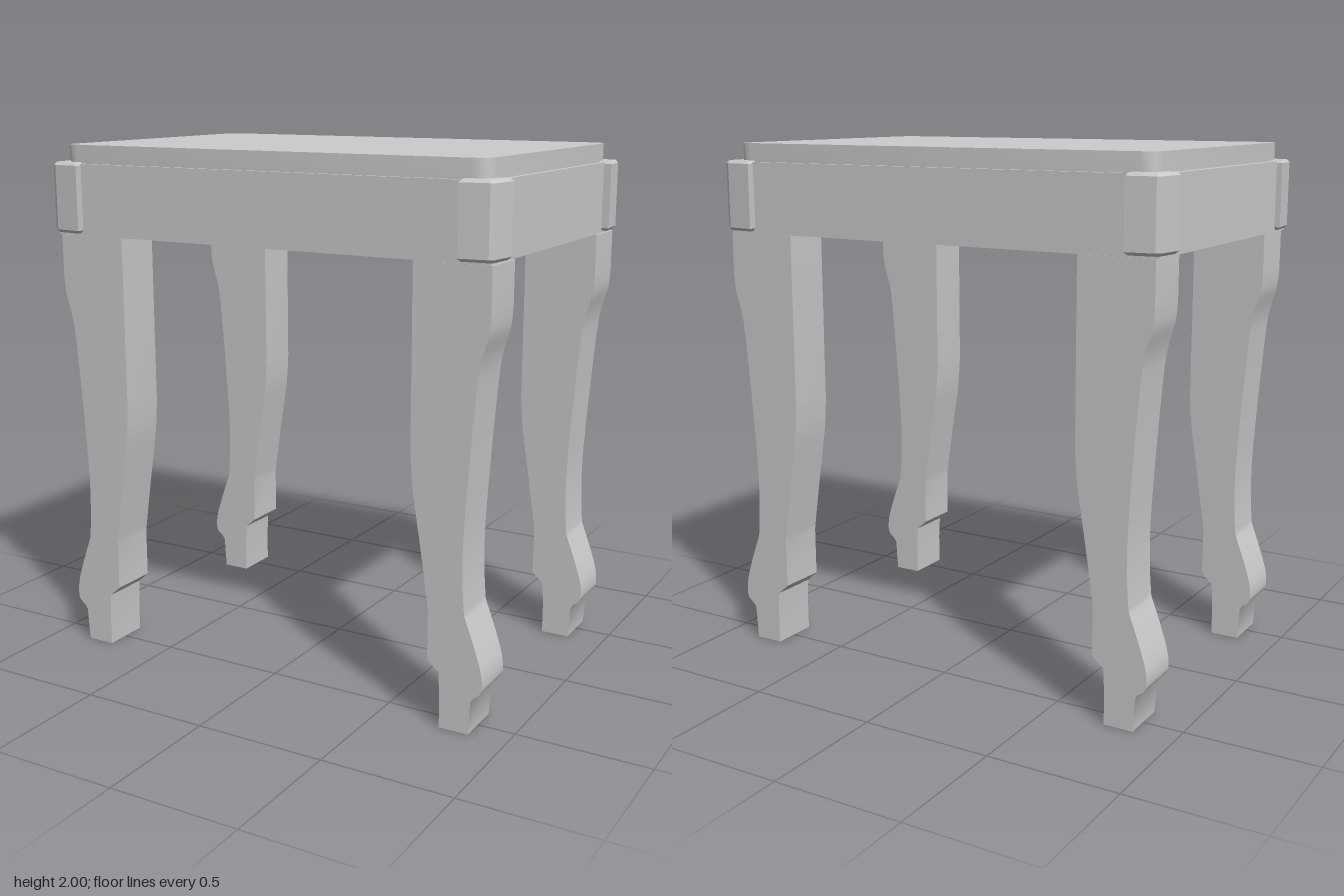
import * as THREE from 'three';
import { toCreasedNormals } from 'three/addons/utils/BufferGeometryUtils.js';

const material = new THREE.MeshStandardMaterial({ color: 0xcccccc });

function part(name, geometry, x = 0, y = 0, z = 0) {
  const mesh = new THREE.Mesh(geometry, material);
  mesh.name = name;
  mesh.position.set(x, y, z);
  return mesh;
}

const points = (list) => list.map(([x, y]) => new THREE.Vector2(x, y));

// Leg outline for the +x side (side = 1) or mirrored (side = -1), extruded in z
function legGeometry(side) {
  const m = ([x, y]) => [x * side, y];
  const shape = new THREE.Shape();
  shape.moveTo(...m([0.612, 1.66]));
  shape.lineTo(...m([0.612, 1.0]));
  shape.splineThru(points([[0.622, 0.87], [0.655, 0.66], [0.688, 0.44]].map(m)));
  shape.lineTo(...m([0.688, 0.25]));
  shape.lineTo(...m([0.733, 0.21]));
  shape.lineTo(...m([0.738, 0.12]));
  shape.lineTo(...m([0.738, 0]));
  shape.lineTo(...m([0.85, 0]));
  shape.lineTo(...m([0.858, 0.125]));
  shape.splineThru(points([[0.868, 0.14], [0.895, 0.165], [0.9, 0.2], [0.893, 0.25], [0.868, 0.33], [0.827, 0.44]].map(m)));
  shape.splineThru(points([[0.819, 0.55], [0.818, 0.72], [0.835, 1.0], [0.855, 1.25], [0.868, 1.34], [0.893, 1.43], [0.9, 1.5]].map(m)));
  shape.lineTo(...m([0.9, 1.66]));
  const geometry = new THREE.ExtrudeGeometry(shape, { depth: 0.185, bevelEnabled: false, curveSegments: 5 });
  geometry.translate(0, 0, -0.0925);
  return toCreasedNormals(geometry, 0.5);
}

// Corner block: plan outline with slightly splayed faces and bevelled rims
function cornerGeometry(sx, sz) {
  const plan = [[0.8, 0.488], [0.8, 0.604], [0.895, 0.594], [0.905, 0.588], [0.916, 0.488]];
  // Shape y becomes -z once the extrusion is stood upright
  const shape = new THREE.Shape(points(plan.map(([x, z]) => [x * sx, -z * sz])));
  const geometry = new THREE.ExtrudeGeometry(shape, {
    depth: 0.245, bevelThickness: 0.011, bevelSize: 0.01, bevelSegments: 1,
  });
  geometry.rotateX(-Math.PI / 2);
  return geometry;
}

// Seat pad with rounded corners
function padGeometry(w, d, h, r) {
  const x = w / 2, y = d / 2;
  const shape = new THREE.Shape();
  shape.moveTo(-x + r, -y);
  shape.lineTo(x - r, -y);
  shape.quadraticCurveTo(x, -y, x, -y + r);
  shape.lineTo(x, y - r);
  shape.quadraticCurveTo(x, y, x - r, y);
  shape.lineTo(-x + r, y);
  shape.quadraticCurveTo(-x, y, -x, y - r);
  shape.lineTo(-x, -y + r);
  shape.quadraticCurveTo(-x, -y, -x + r, -y);
  const geometry = new THREE.ExtrudeGeometry(shape, { depth: h, bevelEnabled: false, curveSegments: 4 });
  geometry.rotateX(-Math.PI / 2);
  return toCreasedNormals(geometry, 0.6);
}

export function createModel() {
  const model = new THREE.Group();
  model.name = 'stool';

  // Apron frame and pad
  model.add(part('apron', new THREE.BoxGeometry(1.802, 0.27, 1.17), -0.004, 1.795, 0));
  model.add(part('seatPad', padGeometry(1.755, 1.137, 0.08, 0.06), 0, 1.92, 0.002));

  // Four legs and corner blocks
  for (const sx of [1, -1]) {
    for (const sz of [1, -1]) {
      const label = (sz > 0 ? 'front' : 'back') + (sx > 0 ? 'Left' : 'Right');
      model.add(part(label + 'Leg', legGeometry(sx), 0.006, 0, sz * 0.4945));
      model.add(part(label + 'CornerBlock', cornerGeometry(sx, sz), 0, 1.679, 0));
    }
  }
  return model;
}
